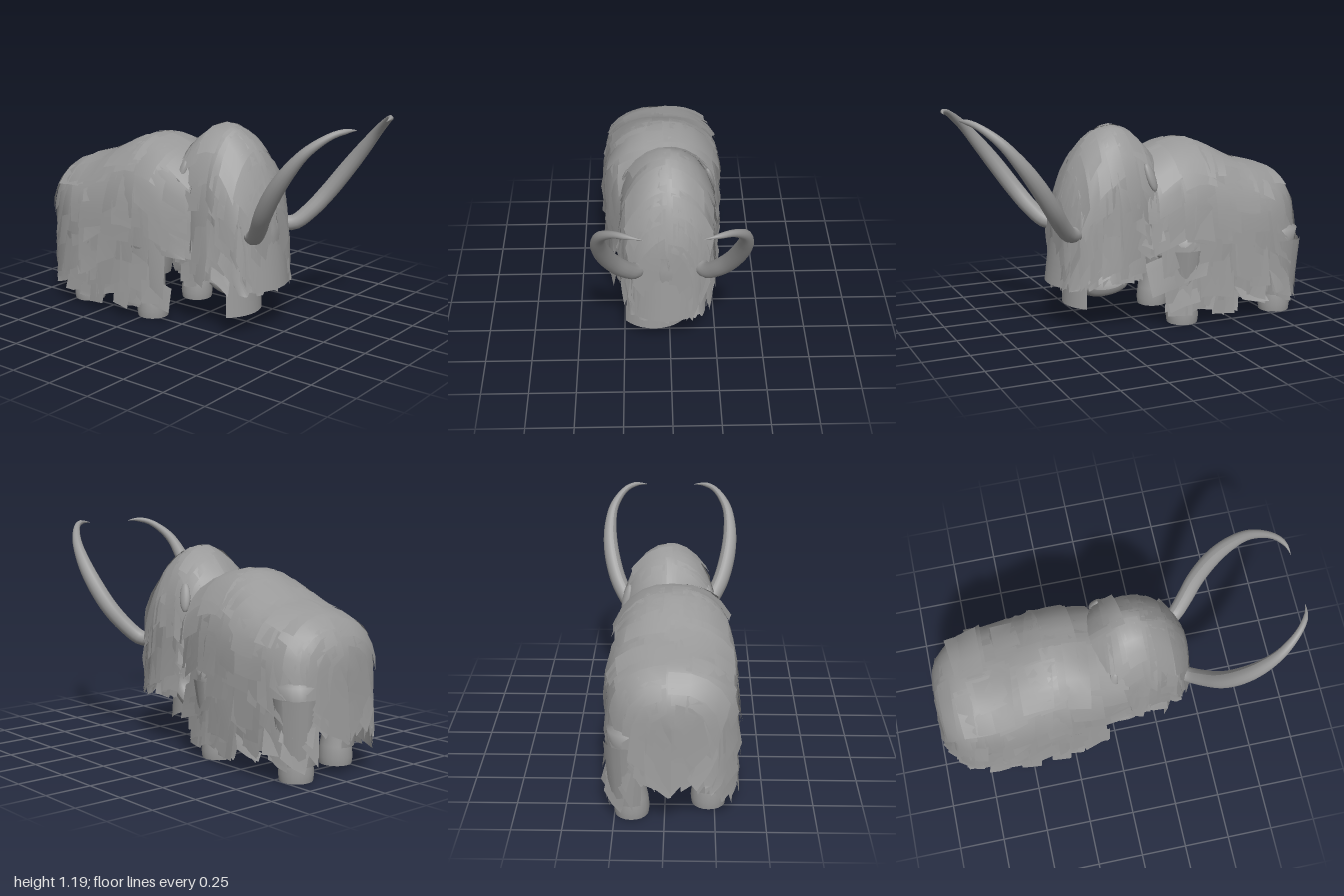
import * as THREE from 'three';
import { mergeGeometries } from 'three/addons/utils/BufferGeometryUtils.js';

const material = new THREE.MeshStandardMaterial({ color: 0x999999 });
const hairMaterial = new THREE.MeshStandardMaterial({ color: 0x999999, side: THREE.DoubleSide });

// Seeded random numbers for the hair
let seed = 11;
const rnd = (a = 0, b = 1) => {
  seed = (seed * 16807) % 2147483647;
  return a + (b - a) * (seed / 2147483647);
};

// Cross-sections, front to back: z, half width, top, widest height, bottom
const BODY = [
  [0.06, 0.20, 0.90, 0.66, 0.45], [-0.08, 0.25, 0.935, 0.62, 0.36],
  [-0.20, 0.28, 0.98, 0.60, 0.32], [-0.33, 0.295, 0.99, 0.58, 0.30],
  [-0.47, 0.30, 0.935, 0.56, 0.30], [-0.60, 0.30, 0.868, 0.55, 0.30],
  [-0.72, 0.295, 0.835, 0.54, 0.30], [-0.83, 0.265, 0.797, 0.53, 0.32],
  [-0.905, 0.20, 0.725, 0.52, 0.34], [-0.945, 0.11, 0.64, 0.50, 0.38],
  [-0.96, 0, 0.54, 0.49, 0.44],
];
const HEAD = [
  [0.45, 0, 0.60, 0.52, 0.47], [0.435, 0.09, 0.69, 0.52, 0.42],
  [0.40, 0.145, 0.80, 0.56, 0.37], [0.35, 0.18, 0.91, 0.60, 0.36],
  [0.28, 0.20, 1.005, 0.64, 0.36], [0.20, 0.21, 1.065, 0.68, 0.37],
  [0.12, 0.215, 1.088, 0.70, 0.38], [0.04, 0.215, 1.06, 0.72, 0.40],
  [-0.03, 0.20, 1.0, 0.74, 0.43], [-0.10, 0.14, 0.925, 0.75, 0.50],
];

// Smooth section at fractional index t
function sectionAt(rows, t) {
  const n = rows.length - 1;
  t = THREE.MathUtils.clamp(t, 0, n);
  const i = Math.min(Math.floor(t), n - 1), f = t - i;
  const row = k => rows[THREE.MathUtils.clamp(k, 0, n)];
  const s = rows[0].map((_, c) => {
    const [p, a, b, q] = [row(i - 1)[c], row(i)[c], row(i + 1)[c], row(i + 2)[c]];
    return a + 0.5 * f * (b - p + f * (2 * p - 5 * a + 4 * b - q + f * (3 * (a - b) + q - p)));
  });
  s[1] = Math.max(s[1], 0);
  return s;
}

// Grid of points; the columns may close into rings
function gridGeometry(rows, cols, point, closed = false) {
  const pos = [], index = [];
  for (let i = 0; i <= rows; i++)
    for (let j = 0; j < cols + (closed ? 0 : 1); j++) pos.push(...point(i / rows, j / cols));
  const w = closed ? cols : cols + 1;
  for (let i = 0; i < rows; i++)
    for (let j = 0; j < cols; j++) {
      const a = i * w + j, b = i * w + (j + 1) % w, c = a + w, d = b + w;
      index.push(a, b, c, b, d, c);
    }
  const g = new THREE.BufferGeometry();
  g.setAttribute('position', new THREE.Float32BufferAttribute(pos, 3));
  g.setIndex(index);
  g.computeVertexNormals();
  return g;
}

const soft = (v, e) => Math.sign(v) * Math.abs(v) ** e;

function loft(rows, cx, power) {
  return gridGeometry(44, 28, (u, v) => {
    const [z, w, top, mid, bot] = sectionAt(rows, u * (rows.length - 1));
    const a = v * Math.PI * 2, c = soft(Math.cos(a), power);
    return [cx + w * soft(Math.sin(a), power), mid + c * (c > 0 ? top - mid : mid - bot), z];
  }, true);
}

// Broad sheets of hair that follow the back, then hang down to the hem
function coat(rows, cx, power, hem, step) {
  const n = rows.length - 1, zc = (rows[0][0] + rows[n][0]) / 2, cards = [];
  const point = (t, d, side, lift, low) => {
    const [z, w, top, mid] = sectionAt(rows, t);
    const q = (top - mid + w) * 0.8, drop = Math.max(0, d - q);
    const a = Math.min(d / q, 1) * Math.PI / 2;
    const y = mid + (top - mid + lift * 0.3) * soft(Math.cos(a), power) - drop;
    return [cx + side * (w + lift * Math.min(1, w / 0.1)) * soft(Math.sin(a), power),
      Math.max(y, low), z + (z - zc) * (lift * 0.6 + drop * 0.1)];
  };
  for (let t0 = 0.1; t0 <= n; t0 += step)
    for (const side of [-1, 1]) {
      const [, w, top, mid] = sectionAt(rows, t0);
      const q = (top - mid + w) * 0.8, low = hem(t0), end = q + mid - low;
      for (let d0 = 0.03; d0 < end - 0.08; d0 += 0.14) {
        const tc = t0 + rnd(-0.3, 0.3), start = d0 + rnd(-0.05, 0.05);
        const length = Math.min(rnd(0.2, 0.4), end - start + rnd(-0.05, 0.03));
        const half = rnd(0.4, 0.8), lean = rnd(-0.3, 0.3), cut = rnd(-0.025, 0.025);
        const base = rnd(0.006, 0.018), flare = rnd(0.008, 0.035), twist = rnd(-0.015, 0.015);
        cards.push(gridGeometry(4, 2, (u, v) => point(
          tc + (v - 0.5) * 2 * half * (1 - 0.15 * u) + lean * u,
          start + u * (length + cut * (v - 0.5) * 2), side,
          base + (flare + twist * (v - 0.5) * 2) * u, low - 0.03)));
      }
    }
  return mergeGeometries(cards);
}

// Tube whose radius follows a list of values
function taperedTube(points, radii, segments = 40) {
  const curve = new THREE.CatmullRomCurve3(points.map(p => new THREE.Vector3(...p)));
  const sides = 14, g = new THREE.TubeGeometry(curve, segments, 1, sides);
  const pos = g.attributes.position, v = new THREE.Vector3();
  for (let i = 0; i <= segments; i++) {
    const c = curve.getPointAt(i / segments), f = i / segments * (radii.length - 1);
    const k = Math.min(Math.floor(f), radii.length - 2);
    const r = THREE.MathUtils.lerp(radii[k], radii[k + 1], f - k);
    for (let j = 0; j <= sides; j++) {
      const id = i * (sides + 1) + j;
      v.fromBufferAttribute(pos, id).sub(c).multiplyScalar(r).add(c);
      pos.setXYZ(id, v.x, v.y, v.z);
    }
  }
  g.computeVertexNormals();
  return g;
}

// Hem heights along the body and the head
const bodyHem = t => (t < 1.3 ? 0.42 : t < 5 ? rnd(0.07, 0.12) : t < 8 ? rnd(0.08, 0.2) : rnd(0.2, 0.27));
const headHem = t => (t > 6.9 ? 0.42 : rnd(0.25, 0.28));

export function createModel() {
  seed = 11;
  const model = new THREE.Group();
  const add = (name, geometry, mat = material) => {
    const mesh = new THREE.Mesh(geometry, mat);
    mesh.name = name;
    model.add(mesh);
    return mesh;
  };

  // Body and head under the hair
  add('body', loft(BODY, -0.035, 0.85));
  add('head', loft(HEAD, 0.005, 1));

  // Long shaggy coat
  add('bodyHair', coat(BODY, -0.035, 0.85, bodyHem, 0.5), hairMaterial);
  add('headHair', coat(HEAD, -0.008, 0.97, headHem, 0.5), hairMaterial);
  add('trunkHair', new THREE.CylinderGeometry(0.19, 0.21, 0.34, 10, 2, true, -0.85, 1.7), hairMaterial)
    .position.set(-0.085, 0.27, 0.155);
  add('faceHair', gridGeometry(3, 6, (u, v) => {
    const x = -0.19 + 0.33 * v;
    return [x, 0.58 - 0.33 * u, 0.445 + 0.04 * u - 2 * (x + 0.02) ** 2];
  }), hairMaterial);

  // Trunk curling back under the chin
  add('trunk', taperedTube([[-0.02, 0.62, 0.32], [-0.02, 0.45, 0.35], [-0.02, 0.3, 0.33],
    [-0.02, 0.2, 0.24], [-0.02, 0.185, 0.14], [-0.02, 0.205, 0.06], [-0.02, 0.28, -0.01]],
  [0.13, 0.12, 0.1, 0.075, 0.055, 0.048, 0.046, 0.042, 0.005]));

  // Tusks, sockets and ears
  for (const s of [-1, 1]) {
    const side = s > 0 ? 'left' : 'right';
    add(side + 'Tusk', taperedTube([[0.13, 0.555, 0.31], [0.15, 0.55, 0.37], [0.185, 0.555, 0.43],
      [0.24, 0.62, 0.495], [0.3, 0.72, 0.565], [0.343, 0.86, 0.66], [0.353, 0.98, 0.75],
      [0.333, 1.085, 0.84], [0.265, 1.163, 0.935], [0.2, 1.18, 0.98], [0.14, 1.175, 0.993],
      [0.135, 1.174, 0.993]].map(([x, y, z]) => [x * s, y, z]),
    [0.04, 0.041, 0.043, 0.045, 0.046, 0.046, 0.045, 0.042, 0.037, 0.03, 0.024, 0.018, 0.014, 0]));
    add(side + 'TuskSocket', new THREE.SphereGeometry(0.045, 14, 10))
      .position.set(-0.015 + s * 0.15, 0.6, 0.34);
    const ear = add(side + 'Ear', new THREE.SphereGeometry(1, 14, 10));
    ear.scale.set(0.02, 0.08, 0.03);
    ear.position.set(-0.005 + s * 0.225, 0.83, -0.015);
    ear.rotation.set(0.15, s * 0.5, s * 0.25);
  }

  // Legs: thick thigh, slim shank, flared foot
  const leg = new THREE.LatheGeometry([[0, 0], [0.085, 0], [0.085, 0], [0.09, 0.04], [0.084, 0.1],
    [0.068, 0.18], [0.07, 0.25], [0.095, 0.36], [0.12, 0.48], [0, 0.55]]
    .map(p => new THREE.Vector2(...p)), 20);
  for (const [name, x, z, hem] of [['frontLeftLeg', 0.17, -0.23, 0.15],
    ['frontRightLeg', -0.22, -0.23, 0.2], ['hindLeftLeg', 0.165, -0.815, 0.05],
    ['hindRightLeg', -0.22, -0.71, 0.07]]) {
    add(name, leg).position.set(x, 0, z);

    // Ragged hair strips around the outer side of each leg
    const strips = [];
    for (let k = 0; k < 5; k++) {
      const low = hem + rnd(0, 0.08), wide = rnd(0.4, 0.6), r = rnd(0.095, 0.11);
      const turn = Math.sign(x) * Math.PI / 2 + (k - 2) * 0.75;
      strips.push(gridGeometry(3, 3, (u, v) => {
        const angle = turn + (v - 0.5) * 2 * wide, radius = r + 0.03 * (1 - u);
        return [radius * Math.sin(angle), 0.42 + (low - 0.42) * u, radius * Math.cos(angle)];
      }));
    }
    add(name + 'Hair', mergeGeometries(strips), hairMaterial).position.set(x, 0, z);
  }
  return model;
}
